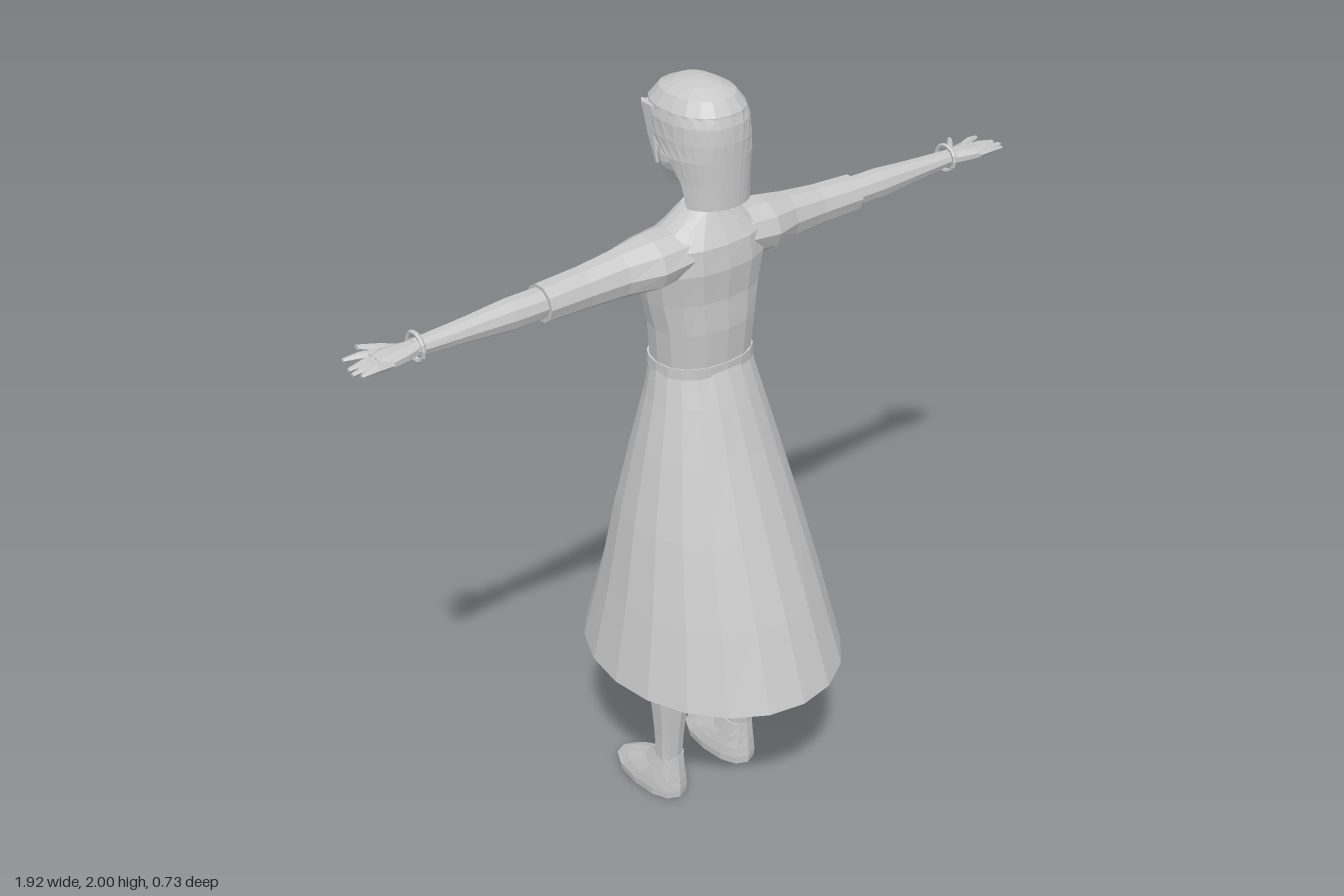
import * as THREE from 'three';

const grey = new THREE.MeshStandardMaterial({ color: 0xc8c8c8, flatShading: true, side: THREE.DoubleSide });
grey.name = 'light grey';

const soft = (v, e) => Math.sign(v) * Math.abs(v) ** e;

// Horizontal ring: height, half width, back z, front z; arc < PI leaves the front open
function ringY([y, hw, zb, zf, arc = Math.PI], n, x0 = 0, e = 0.88) {
  const pts = [];
  const closed = arc >= Math.PI;
  for (let i = 0; i < (closed ? n : n + 1); i++) {
    const t = -arc + (2 * arc * i) / n;
    pts.push([x0 + hw * soft(Math.sin(t), e), y, (zb + zf) / 2 + ((zb - zf) / 2) * soft(Math.cos(t), e)]);
  }
  return pts;
}

// Upright ring across an arm: x, centre y, half height, centre z, half depth
function ringX([x, cy, ry, cz, rz], n) {
  return Array.from({ length: n }, (_, i) => {
    const t = ((i + 0.5) / n) * Math.PI * 2;
    return [x, cy + ry * Math.cos(t), cz + rz * Math.sin(t)];
  });
}

// Skin between rings, with optional fan caps
function loft(name, rings, { closed = true, caps = true } = {}) {
  const n = rings[0].length;
  const pos = rings.flat(2);
  const idx = [];
  for (let r = 0; r < rings.length - 1; r++) {
    for (let i = 0; i < (closed ? n : n - 1); i++) {
      const j = (i + 1) % n;
      const a = r * n + i, b = r * n + j, c = a + n, d = b + n;
      idx.push(a, b, d, a, d, c);
    }
  }
  if (caps) {
    [0, rings.length - 1].forEach((r, k) => {
      const centre = pos.length / 3;
      for (let axis = 0; axis < 3; axis++) pos.push(rings[r].reduce((s, p) => s + p[axis], 0) / n);
      for (let i = 0; i < n; i++) {
        const a = r * n + i, b = r * n + ((i + 1) % n);
        idx.push(centre, ...(k ? [a, b] : [b, a]));
      }
    });
  }
  const g = new THREE.BufferGeometry();
  g.setAttribute('position', new THREE.Float32BufferAttribute(pos, 3));
  g.setIndex(idx);
  g.computeVertexNormals();
  return named(name, g);
}

function named(name, geometry) {
  const m = new THREE.Mesh(geometry, grey);
  m.name = name;
  return m;
}

const loftY = (name, rows, n, x0, opt) => loft(name, rows.map((r) => ringY(r, n, x0)), opt);
const loftX = (name, rows, n) => loft(name, rows.map((r) => ringX(r, n)));

function ball(name, [x, y, z], [sx, sy, sz], w = 10, h = 7) {
  const m = named(name, new THREE.SphereGeometry(1, w, h));
  m.position.set(x, y, z);
  m.scale.set(sx, sy, sz);
  return m;
}

// Everything that exists once per side, modelled on +x
function side(name) {
  const s = new THREE.Group();
  s.name = name;

  // Sleeve, forearm, bracelet
  s.add(loftX('sleeve', [
    [0.09, 1.6, 0.058, -0.035, 0.085], [0.17, 1.592, 0.066, -0.03, 0.08],
    [0.25, 1.585, 0.058, -0.038, 0.058], [0.35, 1.58, 0.051, -0.04, 0.05],
    [0.465, 1.58, 0.046, -0.038, 0.049],
  ], 10));
  s.add(loftX('forearm', [
    [0.44, 1.58, 0.037, -0.04, 0.04], [0.55, 1.58, 0.038, -0.038, 0.039],
    [0.66, 1.58, 0.029, -0.038, 0.031], [0.8, 1.58, 0.019, -0.04, 0.025],
  ], 10));
  const bracelet = named('bracelet', new THREE.TorusGeometry(0.033, 0.006, 5, 14));
  bracelet.rotation.y = Math.PI / 2;
  bracelet.position.set(0.79, 1.58, -0.042);
  s.add(bracelet);

  // Hand
  s.add(loftX('palm', [
    [0.79, 1.58, 0.018, -0.04, 0.024], [0.83, 1.58, 0.017, -0.038, 0.034],
    [0.87, 1.58, 0.015, -0.038, 0.042], [0.895, 1.58, 0.011, -0.036, 0.04],
  ], 8));
  [[-0.008, 0.95, -0.004], [-0.027, 0.962, -0.022], [-0.047, 0.958, -0.045], [-0.066, 0.945, -0.09]]
    .forEach(([z0, x1, z1], i) => s.add(loftX('finger' + (i + 1), [
      [0.87, 1.58, 0.01, z0, 0.012], [(0.87 + x1) / 2, 1.581, 0.01, (z0 + z1) / 2, 0.011],
      [x1, 1.578, 0.004, z1, 0.006],
    ], 6)));
  s.add(loftX('thumb', [
    [0.815, 1.578, 0.012, -0.052, 0.014], [0.85, 1.576, 0.011, -0.088, 0.015], [0.888, 1.574, 0.006, -0.128, 0.009],
  ], 6));

  // Leg and shoe
  s.add(loftY('leg', [
    [0.11, 0.034, 0.0, -0.068], [0.2, 0.036, 0.01, -0.075], [0.33, 0.046, 0.027, -0.088],
    [0.46, 0.051, 0.035, -0.103], [0.56, 0.055, 0.03, -0.11], [0.78, 0.068, 0.045, -0.13], [0.95, 0.075, 0.05, -0.14],
  ], 10, 0.12));
  s.add(loftY('shoe', [
    [0, 0.058, 0.01, -0.235], [0.022, 0.061, 0.012, -0.24], [0.05, 0.056, 0.01, -0.195],
    [0.09, 0.045, 0.006, -0.115], [0.13, 0.036, 0.003, -0.072],
  ], 12, 0.117));

  // Chest, ear, eye, brow and the lock of hair at the temple
  s.add(ball('bust', [0.07, 1.525, -0.115], [0.075, 0.07, 0.068], 10, 6));
  s.add(ball('ear', [0.09, 1.835, -0.06], [0.014, 0.036, 0.024], 8, 6));
  s.add(ball('eye', [0.036, 1.862, -0.15], [0.018, 0.009, 0.008]));
  s.add(ball('brow', [0.038, 1.888, -0.154], [0.022, 0.004, 0.007], 8, 5));
  const lock = loftY('templeLock', [
    [1.8, 0.004, -0.088, -0.096], [1.86, 0.011, -0.085, -0.12], [1.94, 0.014, -0.08, -0.15],
  ], 6, 0.088);
  s.add(lock);
  return s;
}

export function createModel() {
  const model = new THREE.Group();
  model.name = 'woman';

  // Dress
  model.add(loftY('bodice', [
    [1.29, 0.128, 0.055, -0.148], [1.4, 0.138, 0.063, -0.148], [1.48, 0.155, 0.06, -0.155],
    [1.56, 0.168, 0.068, -0.158], [1.62, 0.16, 0.06, -0.13], [1.66, 0.105, 0.035, -0.1], [1.695, 0.052, 0.014, -0.084],
  ], 16));
  model.add(loftY('waistband', [
    [1.28, 0.134, 0.06, -0.155], [1.308, 0.133, 0.06, -0.155],
  ], 20));
  model.add(loft('skirt', [
    [0.47, 0.312, 0.367, -0.367], [0.68, 0.27, 0.293, -0.303], [0.89, 0.228, 0.213, -0.255],
    [1.08, 0.183, 0.14, -0.203], [1.21, 0.15, 0.092, -0.168], [1.3, 0.131, 0.056, -0.151],
  ].map((r) => ringY(r, 20, 0, 1)), { caps: false }));

  // Neck and head
  model.add(loftY('neck', [
    [1.66, 0.05, 0.012, -0.08], [1.72, 0.04, 0.008, -0.07], [1.78, 0.042, 0.01, -0.075],
  ], 12));
  model.add(loftY('head', [
    [1.728, 0.024, -0.08, -0.145], [1.742, 0.046, -0.04, -0.158], [1.78, 0.067, -0.005, -0.163],
    [1.83, 0.082, 0.04, -0.163], [1.865, 0.086, 0.055, -0.16], [1.92, 0.088, 0.062, -0.168], [1.955, 0.072, 0.045, -0.15],
  ], 16));
  model.add(loftY('nose', [
    [1.803, 0.012, -0.15, -0.176], [1.814, 0.013, -0.15, -0.187], [1.868, 0.006, -0.15, -0.164],
  ], 6));
  model.add(ball('upperLip', [0, 1.783, -0.161], [0.022, 0.005, 0.009], 8, 5));
  model.add(ball('lowerLip', [0, 1.773, -0.16], [0.018, 0.006, 0.01], 8, 5));

  // Bobbed hair, open around the face, under a closed crown
  model.add(loftY('bob', [
    [1.74, 0.05, 0.025, -0.06, 1.15], [1.722, 0.097, 0.08, -0.14, 1.15], [1.78, 0.1, 0.08, -0.15, 1.25],
    [1.84, 0.108, 0.08, -0.165, 1.5], [1.88, 0.107, 0.08, -0.17, 1.95],
    [1.92, 0.105, 0.076, -0.176, 2.4], [1.945, 0.098, 0.068, -0.176, 2.8],
  ], 18, 0, { closed: false, caps: false }));
  model.add(loftY('crown', [
    [1.93, 0.1, 0.07, -0.18], [1.945, 0.099, 0.069, -0.177], [1.975, 0.078, 0.045, -0.152],
    [1.993, 0.045, 0.008, -0.112], [2, 0.018, -0.03, -0.07],
  ], 18));

  // Both sides of the body
  const left = side('leftSide');
  const right = side('rightSide');
  right.scale.x = -1;
  model.add(left, right);
  return model;
}
